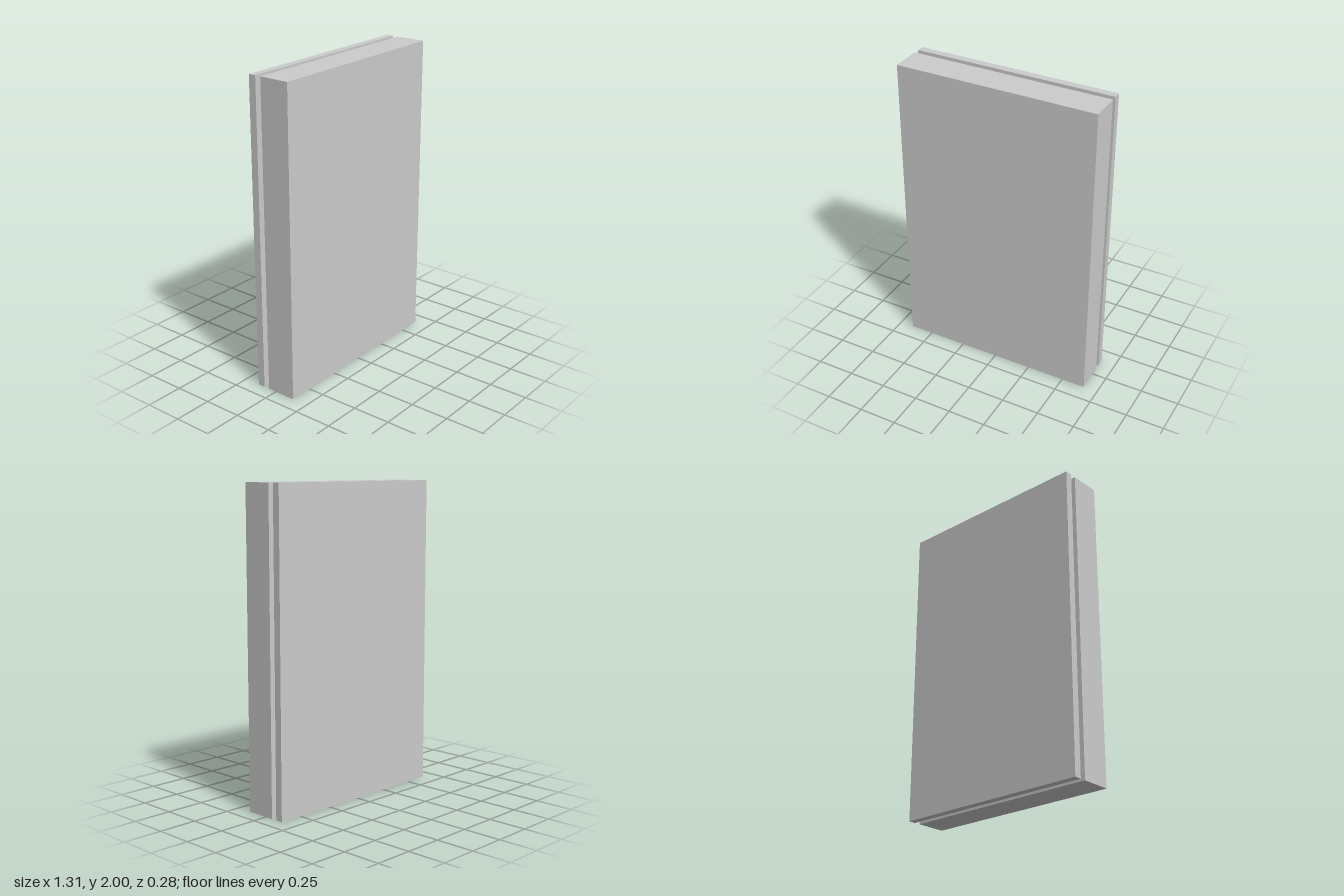
import * as THREE from 'three';

const material = new THREE.MeshStandardMaterial({ color: 0xcccccc });
const WIDTH = 1.31, HEIGHT = 2;
const BACK = -0.1425, GAP_BACK = -0.094, GAP_FRONT = -0.056, FRONT = 0.1425;

export function createModel() {
  const model = new THREE.Group();
  const add = (name, geometry, x, y, z) => {
    const mesh = new THREE.Mesh(geometry, material);
    mesh.name = name;
    mesh.position.set(x, y, z);
    model.add(mesh);
    return mesh;
  };
  const slab = (name, z0, z1) =>
    add(name, new THREE.BoxGeometry(WIDTH, HEIGHT, z1 - z0), 0, HEIGHT / 2, (z0 + z1) / 2);

  // Thick front slab and thin back plate
  slab('frontPanel', GAP_FRONT, FRONT);
  slab('backPlate', BACK, GAP_BACK);

  // Rounded spacer plate in the gap
  const w = 0.465, h = 0.8175, r = 0.17;
  const outline = new THREE.Shape();
  outline.absarc(w - r, h - r, r, 0, Math.PI / 2);
  outline.absarc(r - w, h - r, r, Math.PI / 2, Math.PI);
  outline.absarc(r - w, r - h, r, Math.PI, Math.PI * 1.5);
  outline.absarc(w - r, r - h, r, Math.PI * 1.5, Math.PI * 2);
  const gap = GAP_FRONT - GAP_BACK;
  const spacer = new THREE.ExtrudeGeometry(outline, { depth: gap, bevelEnabled: false, curveSegments: 16 });
  add('spacerPlate', spacer, 0, 1.0125, GAP_BACK);

  // Round standoff posts near the four corners
  const post = new THREE.CylinderGeometry(0.024, 0.024, gap, 24).rotateX(Math.PI / 2);
  for (const x of [-0.54, 0.54]) {
    for (const y of [0.12, 1.885]) add('cornerPost', post, x, y, (GAP_BACK + GAP_FRONT) / 2);
  }
  return model;
}
